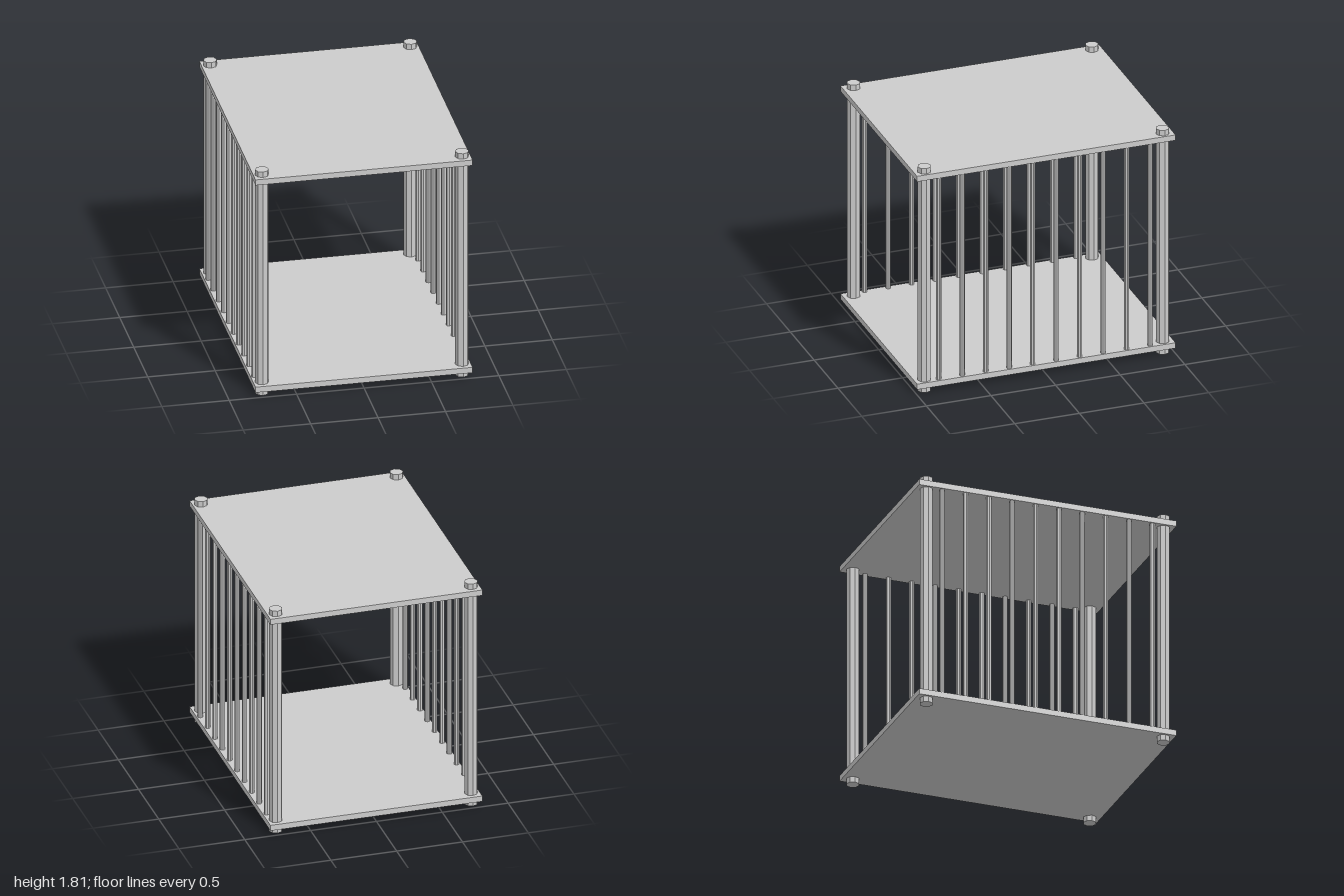
import * as THREE from 'three';

export function createModel() {
  const group = new THREE.Group();
  group.name = 'cage';
  const grey = new THREE.MeshStandardMaterial({ color: 0xcccccc });
  grey.name = 'grey';

  const add = (name, geometry, x, y, z) => {
    const mesh = new THREE.Mesh(geometry, grey);
    mesh.name = name;
    mesh.position.set(x, y, z);
    group.add(mesh);
  };
  // Eight-sided upright with faceted sides
  const upright = (radius, height) => {
    const geometry = new THREE.CylinderGeometry(radius, radius, height, 8).toNonIndexed();
    geometry.computeVertexNormals();
    return geometry;
  };

  // Floor and roof plates
  const plate = new THREE.BoxGeometry(1.61, 0.044, 2);
  add('floorPlate', plate, 0, 0.065, 0);
  add('roofPlate', plate, 0, 1.741, 0);

  // Corner posts pass through both plates
  const post = upright(0.05, 1.806);
  for (const x of [-0.742, 0.742])
    for (const z of [-0.922, 0.922]) add('cornerPost', post, x, 0.903, z);

  // Rows of bars on the two long sides
  const bar = upright(0.02, 1.66);
  for (const x of [-0.778, 0.778])
    for (let i = 0; i < 10; i++) add('bar', bar, x, 0.903, 0.823 - i * 0.1818);

  return group;
}
